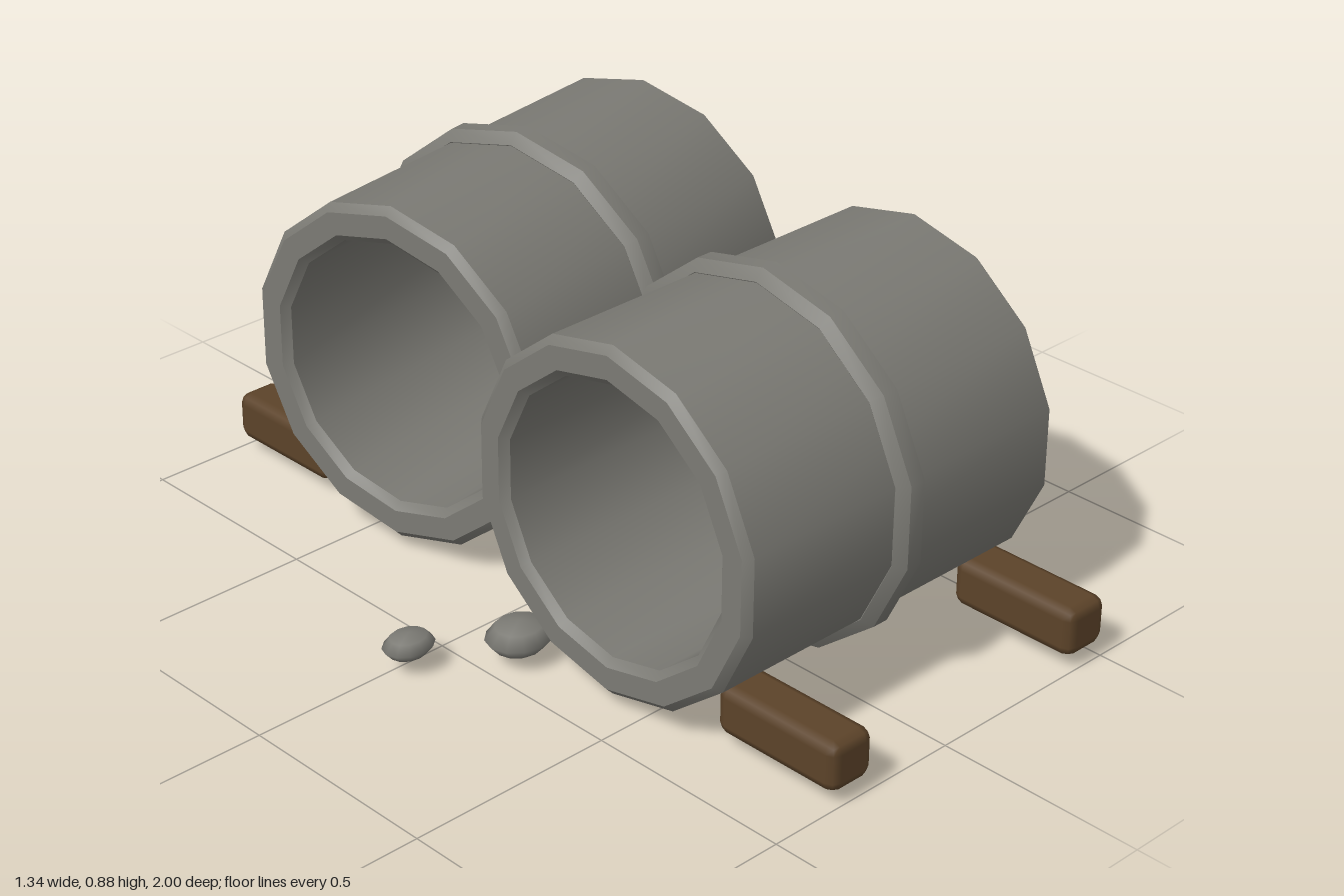
import * as THREE from 'three';
import { toCreasedNormals } from 'three/addons/utils/BufferGeometryUtils.js';
import { RoundedBoxGeometry } from 'three/addons/geometries/RoundedBoxGeometry.js';

const SIDES = 14;

// Closed [radius, offset along x] profile turned around the x axis, with a corner at the top
function turned(profile) {
  const points = [...profile, profile[0]].map(([r, x]) => new THREE.Vector2(r, x));
  const geometry = new THREE.LatheGeometry(points, SIDES);
  geometry.rotateZ(-Math.PI / 2).rotateX(-Math.PI / 2);
  return toCreasedNormals(geometry, 0.6);
}

export function createModel() {
  const model = new THREE.Group();
  model.name = 'pipeStack';

  const stone = new THREE.MeshStandardMaterial({ color: 0x7b7a74 });
  stone.name = 'concrete';
  const wood = new THREE.MeshStandardMaterial({ color: 0x5c4329 });
  wood.name = 'wood';

  const add = (parent, name, geometry, material, x = 0, y = 0, z = 0) => {
    const mesh = new THREE.Mesh(geometry, material);
    mesh.name = name;
    mesh.position.set(x, y, z);
    parent.add(mesh);
    return mesh;
  };

  // Hollow pipe wall with chamfered rims, and the raised band round its middle
  const R = 0.41, r = 0.32, h = 0.462, c = 0.018;
  const wall = turned([
    [R - c, -h], [R, -h + c], [R, h - c], [R - c, h],
    [r + c, h], [r, h - c], [r, -h + c], [r + c, -h],
  ]);
  const band = turned([
    [0.385, -0.022], [0.412, -0.04], [0.438, -0.02],
    [0.438, 0.02], [0.412, 0.04], [0.385, 0.022],
  ]);

  // Two pipes, the back one slightly turned
  for (const [name, x, z, turn] of [
    ['frontPipe', 0.053, 0.42, 0],
    ['backPipe', 0.15, -0.445, 0.145],
  ]) {
    const pipe = new THREE.Group();
    pipe.name = name;
    pipe.position.set(x, 0.439, z);
    pipe.rotation.y = turn;
    add(pipe, 'pipeWall', wall, stone);
    add(pipe, 'pipeBand', band, stone);
    model.add(pipe);
  }

  // Wooden chocks on the outer sides
  const chock = new RoundedBoxGeometry(0.12, 0.116, 0.33, 1, 0.025);
  for (const [name, x, z] of [
    ['frontRightChock', -0.28, 0.835],
    ['frontLeftChock', 0.45, 0.835],
    ['backRightChock', -0.21, -0.835],
    ['backLeftChock', 0.515, -0.835],
  ]) add(model, name, chock, wood, x, 0.09, z);

  // Flattened pebbles in a row of growing size
  const pebble = new THREE.SphereGeometry(1, 12, 4);
  for (const [x, z, sx, sy, sz] of [
    [-0.61, 0.02, 0.063, 0.029, 0.05],
    [-0.415, 0.155, 0.08, 0.038, 0.07],
    [-0.21, 0.29, 0.1, 0.05, 0.088],
  ]) add(model, 'pebble', pebble, stone, x, 0.063, z).scale.set(sx, sy, sz);

  return model;
}
